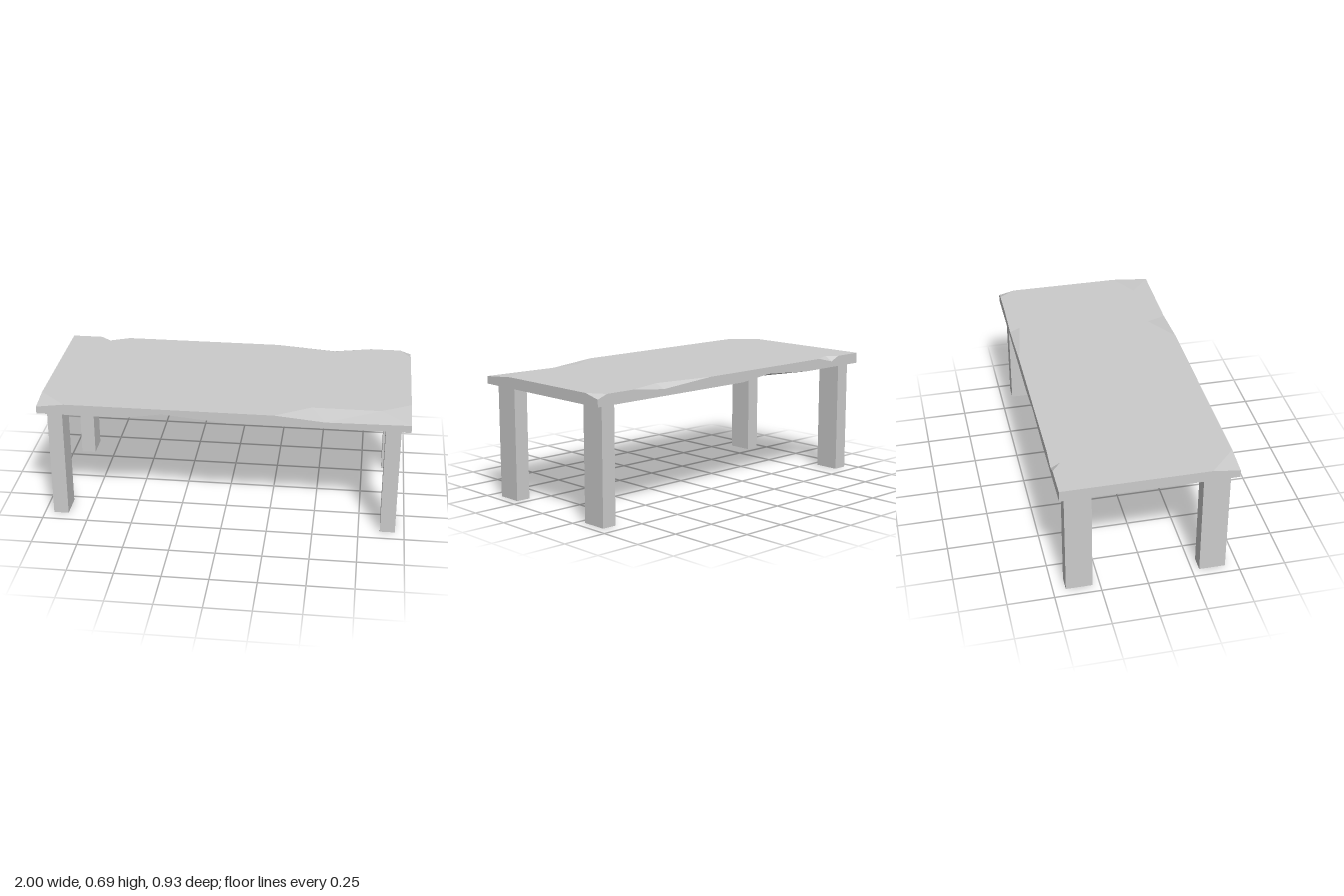
import * as THREE from 'three';

const D = 0.463, T = 0.692, B = 0.632; // half depth, slab top and underside

export function createModel() {
  const group = new THREE.Group();
  const material = new THREE.MeshStandardMaterial({ color: 0xcccccc, flatShading: true });
  const pos = [];

  // Flat polygon: 2D outline placed in space by `place`, facing `normal`
  const face = (outline, place, normal) => {
    const n = new THREE.Vector3(...normal);
    const pts = outline.map(([u, v]) => new THREE.Vector3(...place(u, v)));
    const flat = outline.map(([u, v]) => new THREE.Vector2(u, v));
    for (const tri of THREE.ShapeUtils.triangulateShape(flat, [])) {
      const t = tri.map(i => pts[i]);
      const dir = t[1].clone().sub(t[0]).cross(t[2].clone().sub(t[0]));
      if (dir.dot(n) < 0) t.reverse();
      t.forEach(p => pos.push(p.x, p.y, p.z));
    }
  };

  // Top and underside, notched where the edges are chipped
  face([[-1, -D], [-0.83, -D], [-0.77, -0.415], [-0.66, -D], [0.22, -D], [0.56, -0.405],
    [0.77, -D], [0.94, -D], [1, -0.37], [1, 0.255], [0.84, 0.345], [0.47, 0.345],
    [0.28, D], [-0.85, D], [-1, 0.32]], (x, z) => [x, T, z], [0, 1, 0]);
  face([[-1, -D], [-0.55, -D], [-0.23, -0.38], [-0.03, -D], [1, -D], [1, D], [0.03, D],
    [-0.3, 0.28], [-0.52, D], [-1, D]], (x, z) => [x, B, z], [0, -1, 0]);

  // Front, back and end faces
  face([[-1, B], [-0.52, B], [-0.32, 0.664], [0.03, B], [1, B], [1, 0.673], [0.55, 0.667],
    [0.28, T], [-0.85, T], [-1, 0.672]], (x, y) => [x, y, D], [0, 0, 1]);
  face([[-1, B], [-0.55, B], [-0.23, 0.655], [-0.03, B], [1, B], [1, 0.671], [0.94, T],
    [0.77, T], [0.56, 0.668], [0.22, T], [-0.66, T], [-0.77, 0.665], [-0.83, T], [-1, T]],
    (x, y) => [x, y, -D], [0, 0, -1]);
  face([[-D, B], [D, B], [D, 0.673], [0.255, T], [-0.37, T], [-D, 0.671]],
    (z, y) => [1, y, z], [1, 0, 0]);
  face([[-D, B], [D, B], [D, 0.672], [0.32, T], [-D, T]], (z, y) => [-1, y, z], [-1, 0, 0]);

  // Sloping triangles inside the chips
  const chip = (a, b, c, up) => {
    const at = [a, b, c];
    const p = at.map(q => new THREE.Vector3(...q));
    const dir = p[1].clone().sub(p[0]).cross(p[2].clone().sub(p[0]));
    if (dir.y * up < 0) at.reverse();
    at.forEach(q => pos.push(...q));
  };
  // Dent in a long edge: ends x0 and x1, inner point, lowest or highest point on the side
  const dent = (x0, x1, y, side, inner, tip, up) => {
    for (const x of [x0, x1]) chip([x, y, side * D], [inner[0], y, inner[1]], [tip[0], tip[1], side * D], up);
  };
  dent(-0.83, -0.66, T, -1, [-0.77, -0.415], [-0.77, 0.665], 1);
  dent(0.22, 0.77, T, -1, [0.56, -0.405], [0.56, 0.668], 1);
  dent(-0.55, -0.03, B, -1, [-0.23, -0.38], [-0.23, 0.655], -1);
  dent(-0.52, 0.03, B, 1, [-0.3, 0.28], [-0.32, 0.664], -1);
  // Broken corners
  chip([-0.85, T, D], [-1, T, 0.32], [-1, 0.672, D], 1);
  chip([0.94, T, -D], [1, T, -0.37], [1, 0.671, -D], 1);
  // Long break at the front corner
  const tip = [0.55, 0.667, D], corner = [1, 0.673, D], in0 = [0.47, T, 0.345], in1 = [0.84, T, 0.345];
  chip([0.28, T, D], in0, tip, 1);
  chip(in0, in1, tip, 1);
  chip(in1, corner, tip, 1);
  chip(in1, [1, T, 0.255], corner, 1);

  const slab = new THREE.BufferGeometry();
  slab.setAttribute('position', new THREE.Float32BufferAttribute(pos, 3));
  slab.computeVertexNormals();
  const top = new THREE.Mesh(slab, material);
  top.name = 'chippedTableTop';
  group.add(top);

  // Four legs
  const legGeometry = new THREE.BoxGeometry(0.082, B, 0.142);
  for (const x of [-1, 1]) for (const z of [-1, 1]) {
    const leg = new THREE.Mesh(legGeometry, material);
    leg.name = `${z > 0 ? 'front' : 'back'}${x > 0 ? 'Left' : 'Right'}Leg`;
    leg.position.set(x * 0.909, B / 2, z * 0.361);
    group.add(leg);
  }
  return group;
}
